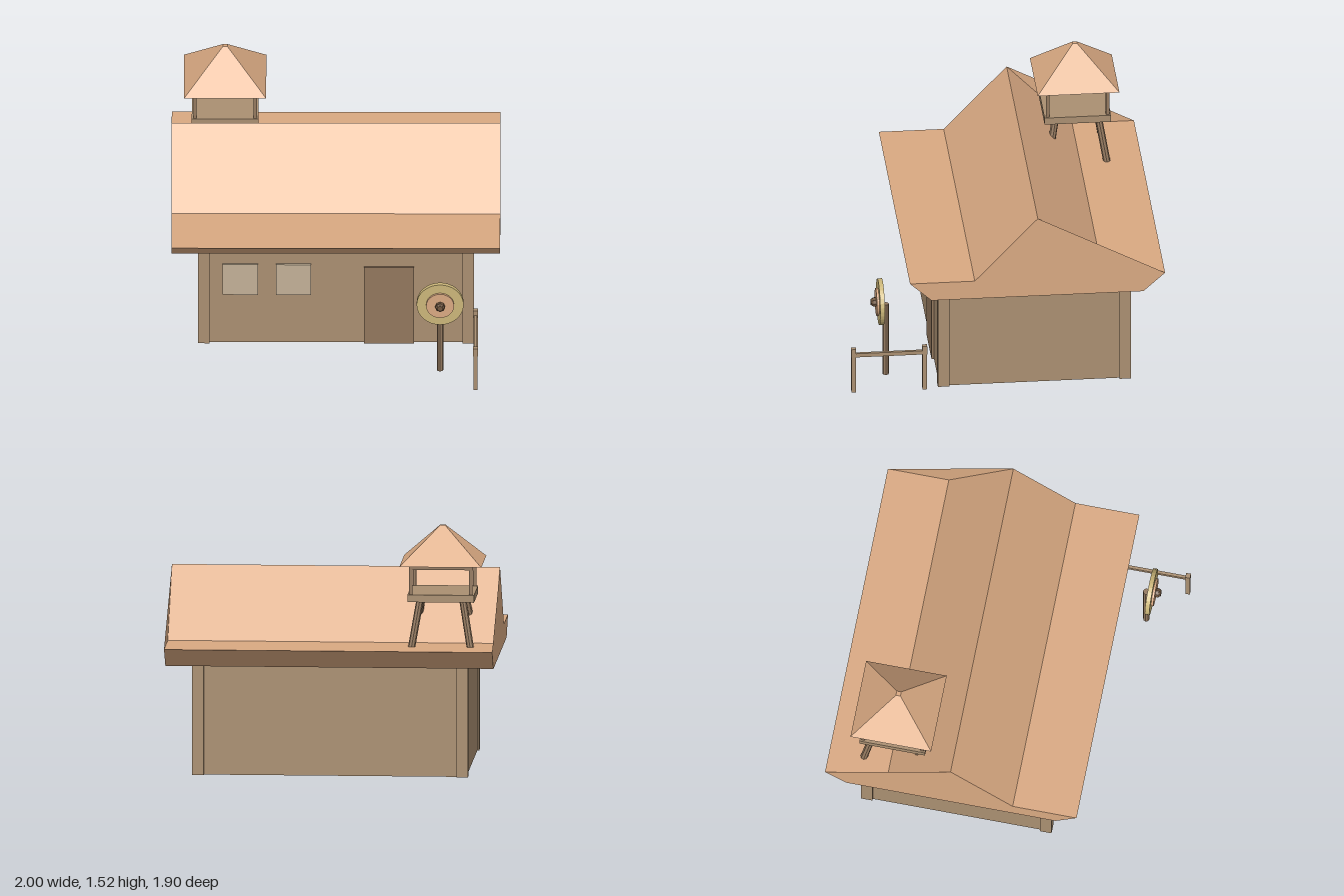
import * as THREE from 'three';

const mat = (color, side = THREE.FrontSide) => {
  const m = new THREE.MeshStandardMaterial({ color, flatShading: true });
  m.side = side;
  return m;
};
const ROOF = mat(0xd9a982), WALL = mat(0xaa8f71), POST = mat(0x94795f), DOOR = mat(0x92775d);
const WINDOW = mat(0xc2b097), GOLD = mat(0xcbb679), DARK = mat(0x70563f);
const GABLE = mat(0xd9a982, THREE.DoubleSide);

export function createModel() {
  const house = new THREE.Group();
  house.name = 'house';

  const add = (name, geo, material, parent = house) => {
    const mesh = new THREE.Mesh(geo, material);
    mesh.name = name;
    parent.add(mesh);
    return mesh;
  };
  // box given by its low and high corners
  const box = (name, lo, hi, material, parent) => {
    const s = hi.map((v, i) => v - lo[i]);
    const mesh = add(name, new THREE.BoxGeometry(...s), material, parent);
    mesh.position.set(...hi.map((v, i) => (v + lo[i]) / 2));
    return mesh;
  };
  // square or round bar between two points
  const bar = (name, a, b, r, sides, material, parent) => {
    const p = new THREE.Vector3(...a), q = new THREE.Vector3(...b), d = q.clone().sub(p);
    const geo = new THREE.CylinderGeometry(r, r, d.length(), sides);
    if (sides === 4) geo.rotateY(Math.PI / 4);
    const mesh = add(name, geo, material, parent);
    mesh.position.copy(p).add(q).multiplyScalar(0.5);
    mesh.quaternion.setFromUnitVectors(new THREE.Vector3(0, 1, 0), d.normalize());
    return mesh;
  };

  // walls and corner posts
  box('walls', [-0.83, 0.003, -0.75], [0.83, 0.69, 0.41], WALL);
  for (const x of [-0.805, 0.805])
    for (const z of [-0.725, 0.385])
      box('cornerPost', [x - 0.035, 0, z - 0.035], [x + 0.035, 0.69, z + 0.035], WALL);
  box('frontBeam', [-0.87, 0.668, 0.4], [0.85, 0.69, 0.44], WALL);

  // roof: one profile (z, y) extruded along x
  const profile = [[0.606, 0.8], [0.21, 0.8], [-0.175, 1.21], [-0.575, 0.8], [-0.953, 0.8], [-0.82, 0.68], [0.475, 0.68]];
  const shape = new THREE.Shape(profile.map(([z, y]) => new THREE.Vector2(-z, y)));
  const roofGeo = new THREE.ExtrudeGeometry(shape, { depth: 2, bevelEnabled: false });
  roofGeo.translate(0, 0, -1).rotateY(Math.PI / 2);
  add('roof', roofGeo, ROOF);
  // thin gable panels closing the back valley at both ends
  for (const x of [-1, 1]) {
    const panel = new THREE.Shape([2, 3, 4].map((i) => new THREE.Vector2(-profile[i][0], profile[i][1])));
    add('gablePanel', new THREE.ShapeGeometry(panel).rotateY(Math.PI / 2).translate(x, 0, 0), GABLE);
  }

  // door and windows
  box('door', [0.17, 0.003, 0.4], [0.477, 0.548, 0.425], DOOR);
  for (const x of [-0.582, -0.257])
    box('window', [x - 0.107, 0.352, 0.4], [x + 0.107, 0.568, 0.425], WINDOW);

  // round shield on a post
  const shield = new THREE.Group();
  shield.name = 'shieldStand';
  house.add(shield);
  bar('shieldPost', [0.635, 0, 0.72], [0.635, 0.48, 0.72], 0.02, 8, POST, shield);
  const disc = (name, r0, r1, z0, z1, sides, material) => {
    const geo = new THREE.CylinderGeometry(r1, r0, z1 - z0, sides).rotateX(Math.PI / 2);
    add(name, geo, material, shield).position.set(0.635, 0.495, (z0 + z1) / 2);
  };
  disc('shieldDisc', 0.143, 0.143, 0.738, 0.766, 32, GOLD);
  disc('shieldInnerDisc', 0.085, 0.085, 0.766, 0.78, 24, ROOF);
  disc('shieldHub', 0.03, 0.03, 0.78, 0.798, 8, DARK);
  disc('shieldHubTip', 0.028, 0.018, 0.798, 0.812, 8, DARK);

  // hitching rail
  const rail = new THREE.Group();
  rail.name = 'hitchingRail';
  house.add(rail);
  for (const z of [0.503, 0.937]) {
    box('railPost', [0.838, 0, z - 0.013], [0.864, 0.27, z + 0.013], WALL, rail);
    box('railPostCap', [0.836, 0.24, z - 0.015], [0.866, 0.295, z + 0.015], WALL, rail);
  }
  box('railBar', [0.842, 0.238, 0.503], [0.86, 0.263, 0.937], WALL, rail);

  // lookout tower on the back of the roof
  const tower = new THREE.Group();
  tower.name = 'lookoutTower';
  tower.position.set(-0.675, 0, -0.56);
  house.add(tower);
  box('towerPlatform', [-0.203, 1.077, -0.203], [0.203, 1.122, 0.203], WALL, tower);
  for (const sx of [-1, 1])
    for (const sz of [-1, 1]) {
      bar('towerLeg', [sx * 0.18, 0.79, sz * 0.18], [sx * 0.13, 1.085, sz * 0.13], 0.022, 8, POST, tower);
      bar('towerPost', [sx * 0.183, 1.12, sz * 0.183], [sx * 0.183, 1.305, sz * 0.183], 0.0145, 4, POST, tower);
    }
  for (const z of [-0.183, 0.183])
    box('towerBeam', [-0.195, 1.275, z - 0.01], [0.195, 1.301, z + 0.01], POST, tower);
  const cap = new THREE.CylinderGeometry(0.014 * Math.SQRT2, 0.25 * Math.SQRT2, 0.225, 4).rotateY(Math.PI / 4);
  add('towerRoof', cap, ROOF, tower).position.y = 1.4125;

  return house;
}
